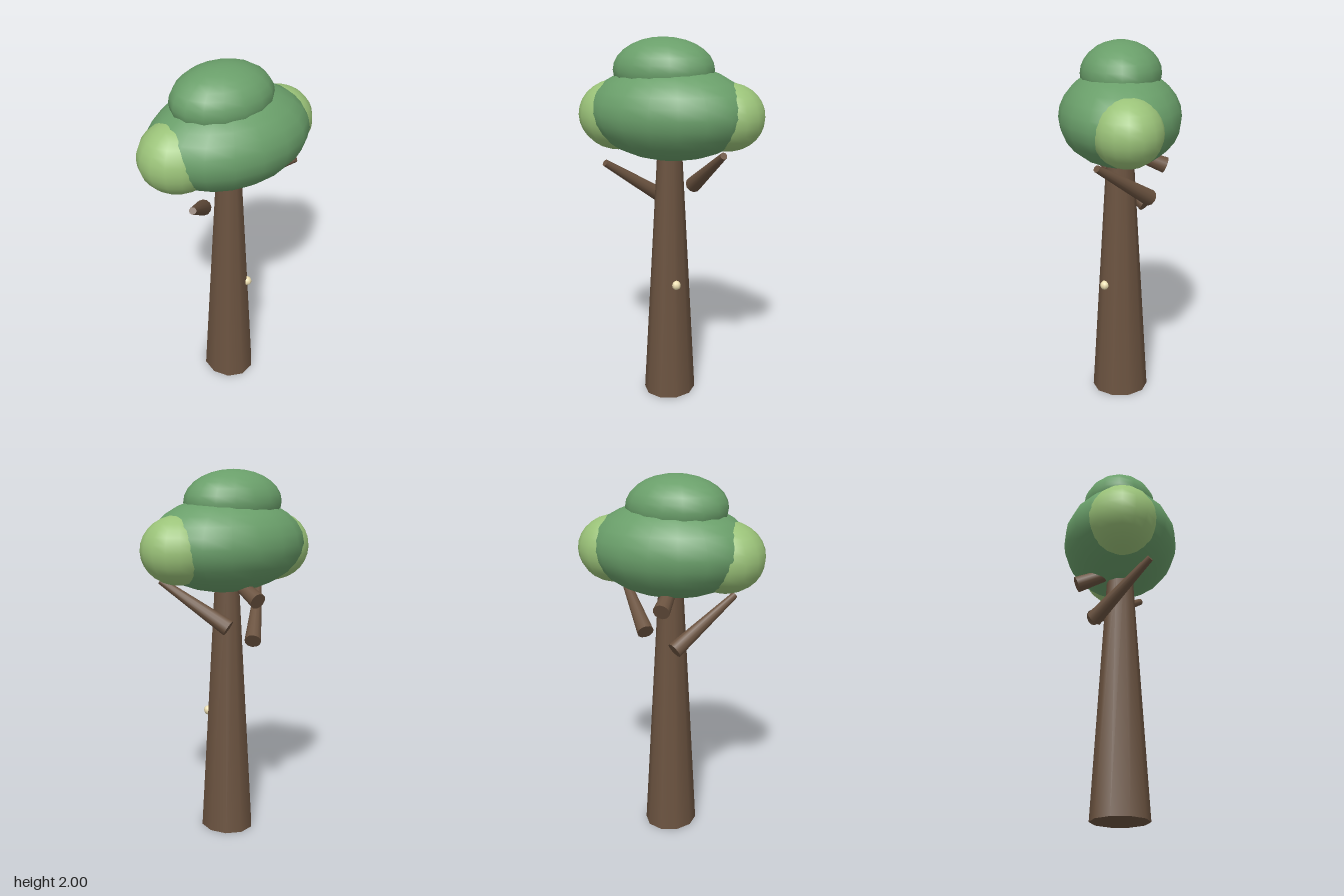
import * as THREE from 'three';

const material = (color) => new THREE.MeshStandardMaterial({ color });

export function createModel() {
  const tree = new THREE.Group();
  tree.name = 'tree';
  const bark = material(0x6b5340);
  const darkLeaf = material(0x6a9f6a);
  const lightLeaf = material(0x9bc379);
  const cream = material(0xeddfb2);

  const add = (name, geometry, mat) => {
    const mesh = new THREE.Mesh(geometry, mat);
    mesh.name = name;
    tree.add(mesh);
    return mesh;
  };

  // Stretched sphere
  const blob = (name, mat, position, radii, segments = 16, phiStart = 0) => {
    const mesh = add(name, new THREE.SphereGeometry(1, segments, 14, phiStart), mat);
    mesh.position.set(...position);
    mesh.scale.set(...radii);
    return mesh;
  };

  // Tapered limb from its thick end to its thin tip
  const limb = (name, from, to) => {
    const a = new THREE.Vector3(...from);
    const b = new THREE.Vector3(...to);
    const axis = b.clone().sub(a);
    const mesh = add(name, new THREE.CylinderGeometry(0.019, 0.045, axis.length(), 12), bark);
    mesh.position.copy(a).add(b).multiplyScalar(0.5);
    mesh.quaternion.setFromUnitVectors(new THREE.Vector3(0, 1, 0), axis.normalize());
  };

  // Trunk, slightly narrower across x
  const trunk = add('trunk', new THREE.CylinderGeometry(0.073, 0.157, 1.4, 10), bark);
  trunk.position.y = 0.7;
  trunk.scale.x = 0.91;

  // Branches
  limb('leftBranch', [0.085, 1.185, -0.155], [0.337, 1.42, 0.125]);
  limb('rightBranch', [-0.075, 1.095, -0.145], [-0.31, 1.345, 0.16]);
  limb('backBranch', [-0.04, 1.33, -0.245], [-0.01, 1.5, 0.15]);

  // Foliage
  blob('mainCanopy', darkLeaf, [0, 1.61, 0], [0.45, 0.256, 0.326], 18, Math.PI / 18);
  blob('topCanopy', darkLeaf, [-0.035, 1.83, -0.005], [0.277, 0.17, 0.215]);
  blob('leftLeafCluster', lightLeaf, [0.31, 1.595, -0.03], [0.2, 0.18, 0.185]);
  blob('rightLeafCluster', lightLeaf, [-0.295, 1.585, 0.01], [0.215, 0.19, 0.195]);

  // Small knob on the trunk
  blob('knob', cream, [0.07, 0.668, 0.088], [0.025, 0.026, 0.025], 8);

  return tree;
}
